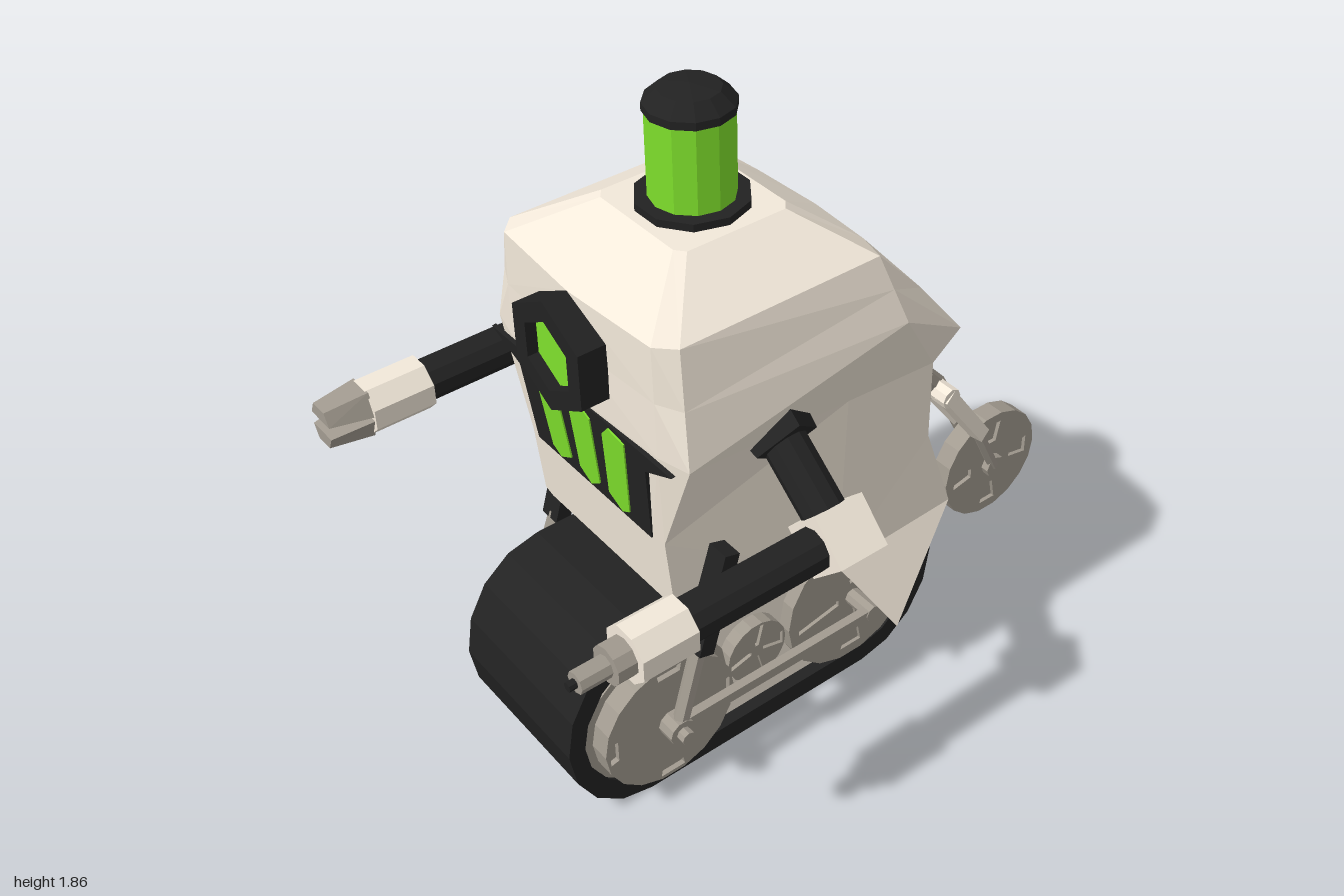
import * as THREE from 'three';

const mat = (color, side = THREE.FrontSide) => new THREE.MeshStandardMaterial({ color, flatShading: true, side });
const V = (p) => new THREE.Vector3(...p);

export function createModel() {
  const root = new THREE.Group();
  const cream = mat(0xf3e9da), creamThin = mat(0xf3e9da, THREE.DoubleSide);
  const grey = mat(0xa29b90), black = mat(0x222222), green = mat(0x7fe02c);

  const add = (name, geo, material, parent = root) => {
    const m = new THREE.Mesh(geo, material);
    m.name = name;
    parent.add(m);
    return m;
  };
  const group = (name) => {
    const g = new THREE.Group();
    g.name = name;
    root.add(g);
    return g;
  };

  // Straight rod between two points, optionally tapered
  const rod = (name, a, b, r0, r1, sides, material, parent, turn = 0) => {
    const d = V(b).sub(V(a));
    const geo = new THREE.CylinderGeometry(r1, r0, d.length(), sides);
    geo.rotateY(turn);
    const m = add(name, geo, material, parent);
    m.quaternion.setFromUnitVectors(new THREE.Vector3(0, 1, 0), d.clone().normalize());
    m.position.copy(V(a)).addScaledVector(d, 0.5);
    return m;
  };

  // Extrude a (z, y) outline along x
  const extrudeX = (shape, x0, x1) => {
    const lo = Math.min(x0, x1), hi = Math.max(x0, x1);
    return new THREE.ExtrudeGeometry(shape, { depth: hi - lo, bevelEnabled: false })
      .rotateY(-Math.PI / 2).translate(hi, 0, 0);
  };

  // Faceted shell from mirrored half rings (front centre to back centre), bottom to top
  const shell = (halfRows, bottomCentre, topCentre) => {
    const rows = halfRows.map((h) => [...h, ...h.slice(1, -1).reverse().map(([x, y, z]) => [-x, y, z])]);
    const pos = [], n = rows[0].length;
    const tri = (...p) => p.forEach((q) => pos.push(...q));
    for (let i = 0; i < n; i++) {
      const j = (i + 1) % n;
      for (let k = 0; k < rows.length - 1; k++) {
        const a = rows[k][i], b = rows[k][j], c = rows[k + 1][j], d = rows[k + 1][i];
        if (i < n / 2) { tri(a, b, d); tri(b, c, d); } else { tri(a, b, c); tri(a, c, d); }
      }
      if (bottomCentre) tri(rows[0][j], rows[0][i], bottomCentre);
      if (topCentre) { const t = rows[rows.length - 1]; tri(t[i], t[j], topCentre); }
    }
    const g = new THREE.BufferGeometry();
    g.setAttribute('position', new THREE.Float32BufferAttribute(pos, 3));
    g.computeVertexNormals();
    return g;
  };

  // Head and torso share the brim ring
  const brim = [[0, 1.16, 0.58], [0.3, 1.16, 0.568], [0.39, 1.16, 0.545], [0.39, 1.28, -0.1], [0.26, 1.05, -0.41], [0, 1.02, -0.46]];
  add('headShell', shell([
    brim,
    [[0, 1.31, 0.582], [0.295, 1.31, 0.566], [0.3625, 1.31, 0.5325], [0.3625, 1.37, -0.075], [0.25, 1.23, -0.27], [0, 1.23, -0.3]],
    [[0, 1.46, 0.585], [0.29, 1.46, 0.565], [0.335, 1.46, 0.52], [0.335, 1.46, -0.05], [0.2, 1.41, -0.12], [0, 1.4, -0.14]],
    [[0, 1.56, 0.39], [0.14, 1.56, 0.39], [0.165, 1.56, 0.37], [0.165, 1.56, 0.09], [0.14, 1.56, 0.07], [0, 1.56, 0.07]],
  ], null, [0, 1.56, 0.23]), cream);
  add('torso', shell([
    [[0, 0.66, 0.53], [0.24, 0.66, 0.53], [0.28, 0.66, 0.525], [0.3, 0.5, 0.02], [0.25, 0.73, -0.33], [0, 0.73, -0.33]],
    [[0, 0.87, 0.55], [0.24, 0.87, 0.55], [0.28, 0.87, 0.545], [0.3, 1.04, 0], [0.25, 0.97, -0.33], [0, 0.97, -0.33]],
    brim,
  ], [0, 0.66, 0.1], null), cream);

  // Chest panel and glowing strips, tilted to follow the chest
  const plate = (name, pts, depth, material) => {
    const shape = new THREE.Shape(pts.map((p) => new THREE.Vector2(...p)));
    const m = add(name, new THREE.ExtrudeGeometry(shape, { depth, bevelEnabled: false }), material);
    m.position.set(0, 0.87, 0.542);
    m.rotation.x = 0.095;
  };
  plate('chestPanel', [[-0.24, 0], [0.24, 0], [0.26, 0.23], [0.37, 0.285], [-0.37, 0.285], [-0.26, 0.23]], 0.012, black);
  plate('chestLight', [[0, 0.01], [0.042, 0.04], [0.045, 0.25], [0, 0.275], [-0.045, 0.25], [-0.042, 0.04]], 0.016, green);
  for (const s of [1, -1]) {
    const pts = [[0.08, 0.04], [0.13, 0.01], [0.162, 0.03], [0.187, 0.265], [0.125, 0.275], [0.095, 0.24]];
    plate('chestLight', pts.map(([x, y]) => [s * x, y]), 0.016, green);
  }

  // Hexagonal eye
  const hex = (r) => Array.from({ length: 6 }, (_, i) => {
    const a = Math.PI / 2 + i * Math.PI / 3;
    return new THREE.Vector2(r * Math.cos(a), r * Math.sin(a));
  });
  const eyeShape = new THREE.Shape(hex(0.153));
  eyeShape.holes.push(new THREE.Path(hex(0.097)));
  add('eyeFrame', new THREE.ExtrudeGeometry(eyeShape, { depth: 0.09, bevelEnabled: false }), black).position.set(0, 1.307, 0.562);
  add('eyeLens', new THREE.ExtrudeGeometry(new THREE.Shape(hex(0.099)), { depth: 0.06, bevelEnabled: false }), green).position.set(0, 1.307, 0.562);

  // Beacon on top
  rod('beaconBase', [0, 1.555, 0.23], [0, 1.58, 0.23], 0.14, 0.14, 10, black, root, Math.PI / 10);
  rod('beaconLight', [0, 1.58, 0.23], [0, 1.8, 0.23], 0.105, 0.105, 12, green);
  const capProfile = [[0, 0], [0.11, 0], [0.11, 0.02], [0.075, 0.052], [0, 0.062]].map((p) => new THREE.Vector2(...p));
  add('beaconCap', new THREE.LatheGeometry(capProfile, 12), black).position.set(0, 1.8, 0.23);

  // Arms
  for (const s of [1, -1]) {
    const arm = group(s > 0 ? 'leftArm' : 'rightArm');
    const x = s * 0.555, y = 0.925;
    rod('shoulder', [s * 0.29, 1.13, 0.25], [s * 0.37, 1.085, 0.25], 0.105, 0.09, 4, black, arm);
    rod('upperArm', [s * 0.31, 1.12, 0.25], [s * 0.53, 0.945, 0.25], 0.056, 0.056, 10, black, arm);
    const elbow = add('elbow', new THREE.BoxGeometry(0.135, 0.135, 0.14), cream, arm);
    elbow.position.set(x, y, 0.25);
    elbow.rotation.z = Math.PI / 4;
    rod('forearm', [x, y, 0.3], [x, y, 0.71], 0.056, 0.056, 10, black, arm);
    rod('wrist', [x, y, 0.7], [x, y, s > 0 ? 0.85 : 0.87], 0.074, 0.074, 8, cream, arm, Math.PI / 8);
    if (s > 0) {
      rod('nozzleCollar', [x, y, 0.85], [x, y, 0.9], 0.05, 0.05, 10, grey, arm);
      rod('nozzle', [x, y, 0.9], [x, y, 0.98], 0.028, 0.028, 8, grey, arm);
      rod('nozzleTip', [x, y, 0.98], [x, y, 1], 0.012, 0.012, 8, black, arm);
    } else {
      for (const t of [1, -1]) {
        const jaw = new THREE.BoxGeometry(0.125, 0.062, 0.12), p = jaw.attributes.position;
        for (let i = 0; i < p.count; i++) {
          if (p.getY(i) * t > 0) p.setX(i, p.getX(i) * 0.6);
          if (p.getZ(i) > 0) p.setXY(i, p.getX(i) * 0.72, p.getY(i) * 0.6);
        }
        add('clawJaw', jaw, grey, arm).position.set(x, y + t * 0.037, 0.925);
      }
    }
  }

  // Track belt and the plate filling its inside: two half ellipses joined by straights
  const belt = (dz, r) => Array.from({ length: 18 }, (_, i) => {
    const front = i < 9;
    const a = -Math.PI / 2 + (front ? i : i - 1) * Math.PI / 8;
    return new THREE.Vector2((front ? 0.59 : -0.14) + dz * Math.cos(a), 0.285 + r * Math.sin(a));
  });
  const track = new THREE.Shape(belt(0.24, 0.285));
  track.holes.push(new THREE.Path(belt(0.185, 0.225)));
  add('trackBelt', extrudeX(track, -0.235, 0.235), black);
  add('trackCore', extrudeX(new THREE.Shape(belt(0.187, 0.227)), -0.2, 0.2), cream);

  // Wheel disc between x0 and x1 with four wedge recesses on its outer faces
  const wheel = (name, z, y, r, x0, x1, slotIn, slotOut, half, parent) => {
    const shape = new THREE.Shape(Array.from({ length: 18 }, (_, i) =>
      new THREE.Vector2(z + r * Math.cos(i * Math.PI / 9), y + r * Math.sin(i * Math.PI / 9))));
    for (let q = 0; q < 4; q++) {
      const a = q * Math.PI / 2;
      const at = (R, w) => new THREE.Vector2(z + R * Math.cos(a + w), y + R * Math.sin(a + w));
      shape.holes.push(new THREE.Path([at(slotIn, -half), at(slotIn, half), at(slotOut, half), at(slotOut, -half)]));
    }
    add(name, extrudeX(shape, x0, x1), grey, parent);
    const inset = (x1 - x0) * 0.2;
    rod(name + 'Core', [x0 + inset, y, z], [x1 - inset, y, z], r * 0.97, r * 0.97, 18, grey, parent);
  };

  // Drive wheels, link bar, struts and rear skirt on each side
  for (const s of [1, -1]) {
    const side = group(s > 0 ? 'leftDrive' : 'rightDrive');
    rod('frontWheelRim', [s * 0.19, 0.285, 0.56], [s * 0.235, 0.285, 0.56], 0.222, 0.222, 18, grey, side);
    wheel('frontWheel', 0.56, 0.285, 0.2, s * 0.22, s * 0.293, 0.165, 0.19, 0.2, side);
    wheel('middleWheel', 0.24, 0.285, 0.095, s * 0.19, s * 0.24, 0.02, 0.088, 0.25, side);
    wheel('rearWheel', -0.09, 0.285, 0.222, s * 0.19, s * 0.24, 0.05, 0.19, 0.19, side);
    rod('hub', [s * 0.28, 0.285, 0.56], [s * 0.345, 0.285, 0.56], 0.038, 0.038, 10, grey, side);
    rod('hubPin', [s * 0.34, 0.285, 0.56], [s * 0.37, 0.285, 0.56], 0.02, 0.02, 8, grey, side);
    rod('rearAxle', [s * 0.23, 0.285, -0.09], [s * 0.33, 0.285, -0.09], 0.025, 0.025, 8, grey, side);
    const bar = add('linkBar', new THREE.BoxGeometry(0.025, 0.03, 0.7), grey, side);
    bar.position.set(s * 0.315, 0.285, 0.22);
    rod('strutRod', [s * 0.325, 0.285, 0.56], [s * 0.315, 0.53, 0.48], 0.022, 0.022, 6, grey, side);
    const strut = add('strutSleeve', new THREE.BoxGeometry(0.065, 0.3, 0.045), black, side);
    strut.position.set(s * 0.315, 0.655, 0.44);
    strut.rotation.x = -0.29;

    const [a, b, c, d] = [[0.3, 0.5, 0.02], [0.25, 0.73, -0.33], [0.255, 0.46, -0.42], [0.4, 0.28, -0.11]].map(([x, y, z]) => [s * x, y, z]);
    const skirt = new THREE.BufferGeometry();
    skirt.setAttribute('position', new THREE.Float32BufferAttribute(
      (s > 0 ? [a, d, c, a, c, b] : [a, c, d, a, b, c]).flat(), 3));
    skirt.computeVertexNormals();
    add('rearSkirt', skirt, creamThin, side);
  }

  // Trailing wheel on its boom
  const tail = group('tail');
  rod('boom', [0, 0.925, -0.28], [0, 0.69, -0.525], 0.052, 0.048, 6, black, tail);
  rod('boomJoint', [0, 0.7, -0.515], [0, 0.605, -0.6], 0.038, 0.038, 8, grey, tail);
  rod('forkPivot', [-0.085, 0.625, -0.58], [0.085, 0.625, -0.58], 0.032, 0.032, 8, cream, tail);
  for (const s of [1, -1]) {
    rod('forkArm', [s * 0.066, 0.635, -0.57], [s * 0.052, 0.4, -0.74], 0.032, 0.03, 4, cream, tail, Math.PI / 4);
    rod('forkRod', [s * 0.052, 0.42, -0.725], [s * 0.042, 0.23, -0.82], 0.018, 0.018, 6, grey, tail);
  }
  rod('tailAxle', [-0.055, 0.23, -0.82], [0.055, 0.23, -0.82], 0.035, 0.035, 8, grey, tail);
  wheel('tailWheel', -0.82, 0.23, 0.18, -0.03, 0.03, 0.08, 0.15, 0.2, tail);

  return root;
}
